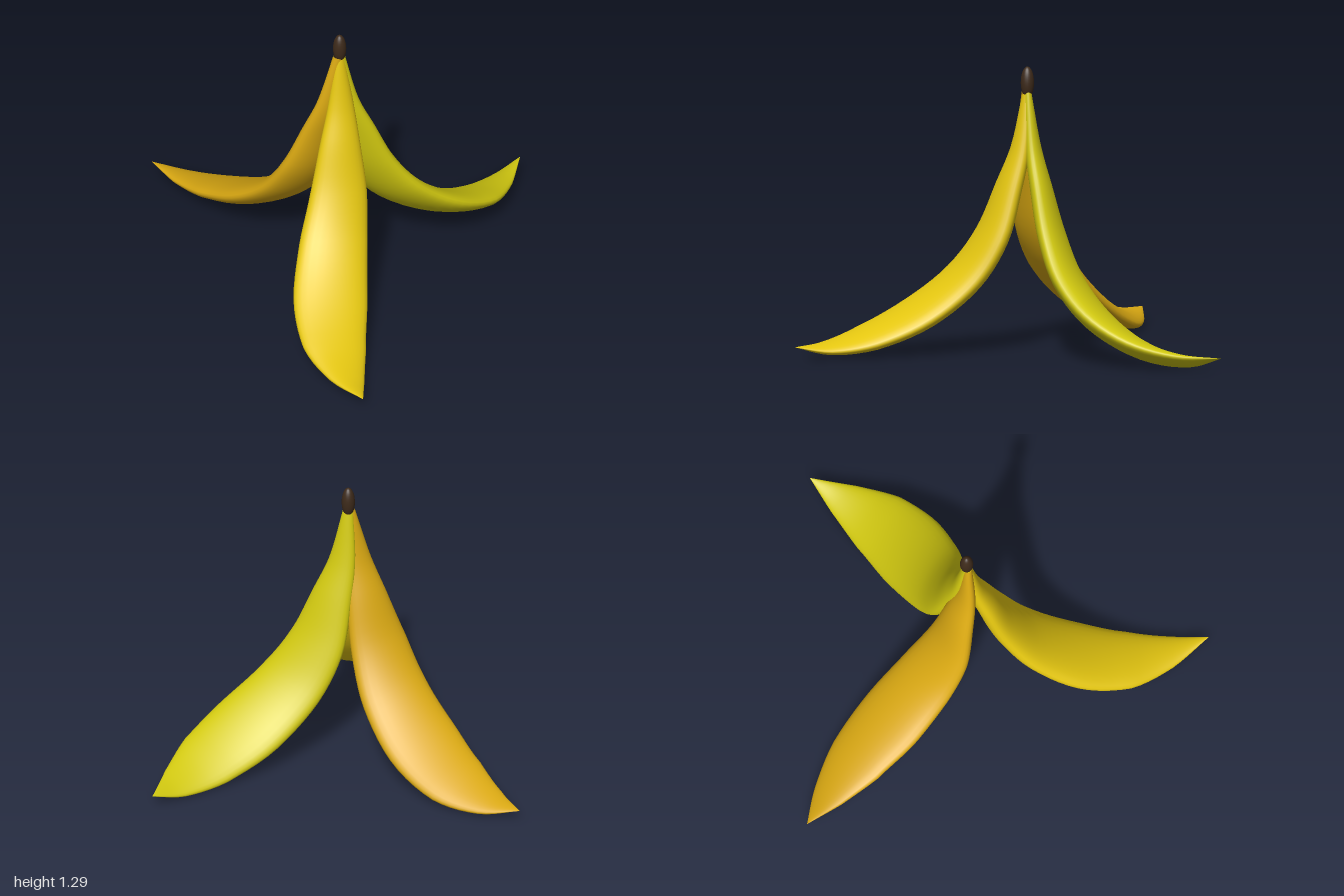
import * as THREE from 'three';

const AXIS = { x: -0.27, z: 0.03 };

// Stations from stem to tip: distance out, height, sideways bow, half width, half thickness
const stations = [
  [0, 1.18, 0, 0.02, 0.02],
  [0.035, 0.92, 0, 0.06, 0.038],
  [0.085, 0.75, 0.01, 0.092, 0.05],
  [0.16, 0.53, 0.025, 0.13, 0.06],
  [0.28, 0.345, 0.06, 0.155, 0.062],
  [0.48, 0.185, 0.093, 0.168, 0.058],
  [0.72, 0.08, 0.096, 0.142, 0.045],
  [0.92, 0.047, 0.057, 0.078, 0.025],
  [1.09, 0.065, 0, 0, 0],
];
const spine = new THREE.CatmullRomCurve3(stations.map(([r, y, bow]) => new THREE.Vector3(r, y, bow)));
const girth = new THREE.CatmullRomCurve3(stations.map(([, , , w, h]) => new THREE.Vector3(w, h, 0)));

// roll lifts the right edge and lowers the left one;
// shift moves the flap sideways by a share of its half width
const flaps = [
  { name: 'leftFlap', color: 0xd2c910, angle: -10.1, roll: 0.34, shift: 0 },
  { name: 'frontFlap', color: 0xe4c610, angle: 116.3, roll: 0.12, shift: -0.03 },
  { name: 'backFlap', color: 0xd9a812, angle: 251.2, roll: -0.28, shift: -0.45 },
];

// Flattened oval sections swept along the drooping spine
function flapGeometry({ angle, roll, shift }) {
  const a = THREE.MathUtils.degToRad(angle);
  const c = Math.cos(a), s = Math.sin(a);
  const rows = 40, cols = 28, pos = [], index = [];
  for (let i = 0; i <= rows; i++) {
    const p = spine.getPoint(i / rows), t = spine.getTangent(i / rows);
    const { x: w, y: h } = girth.getPoint(i / rows);
    const len = Math.hypot(t.x, t.y);
    for (let j = 0; j < cols; j++) {
      const phi = (j / cols) * Math.PI * 2;
      const across = w * Math.cos(phi);
      const lift = h * Math.sin(phi) + roll * across;
      const out = p.x - (lift * t.y) / len;
      const side = p.z + across + shift * w;
      pos.push(
        AXIS.x + out * c - side * s,
        Math.max(0, p.y + (lift * t.x) / len),
        AXIS.z + out * s + side * c);
      if (i < rows) {
        const k = i * cols + j, k1 = i * cols + ((j + 1) % cols);
        index.push(k, k + cols, k1, k1, k + cols, k1 + cols);
      }
    }
  }
  const g = new THREE.BufferGeometry();
  g.setAttribute('position', new THREE.Float32BufferAttribute(pos, 3));
  g.setIndex(index);
  g.computeVertexNormals();
  return g;
}

export function createModel() {
  const model = new THREE.Group();
  model.name = 'bananaPeel';

  // Three drooping peel flaps
  for (const flap of flaps) {
    const mesh = new THREE.Mesh(flapGeometry(flap),
      new THREE.MeshStandardMaterial({ color: flap.color }));
    mesh.name = flap.name;
    model.add(mesh);
  }

  // Dark oval stem on top
  const stem = new THREE.Mesh(new THREE.SphereGeometry(1, 24, 16),
    new THREE.MeshStandardMaterial({ color: 0x3d2a1a }));
  stem.name = 'stem';
  stem.scale.set(0.03, 0.073, 0.03);
  stem.position.set(AXIS.x, 1.22, AXIS.z);
  model.add(stem);

  return model;
}
